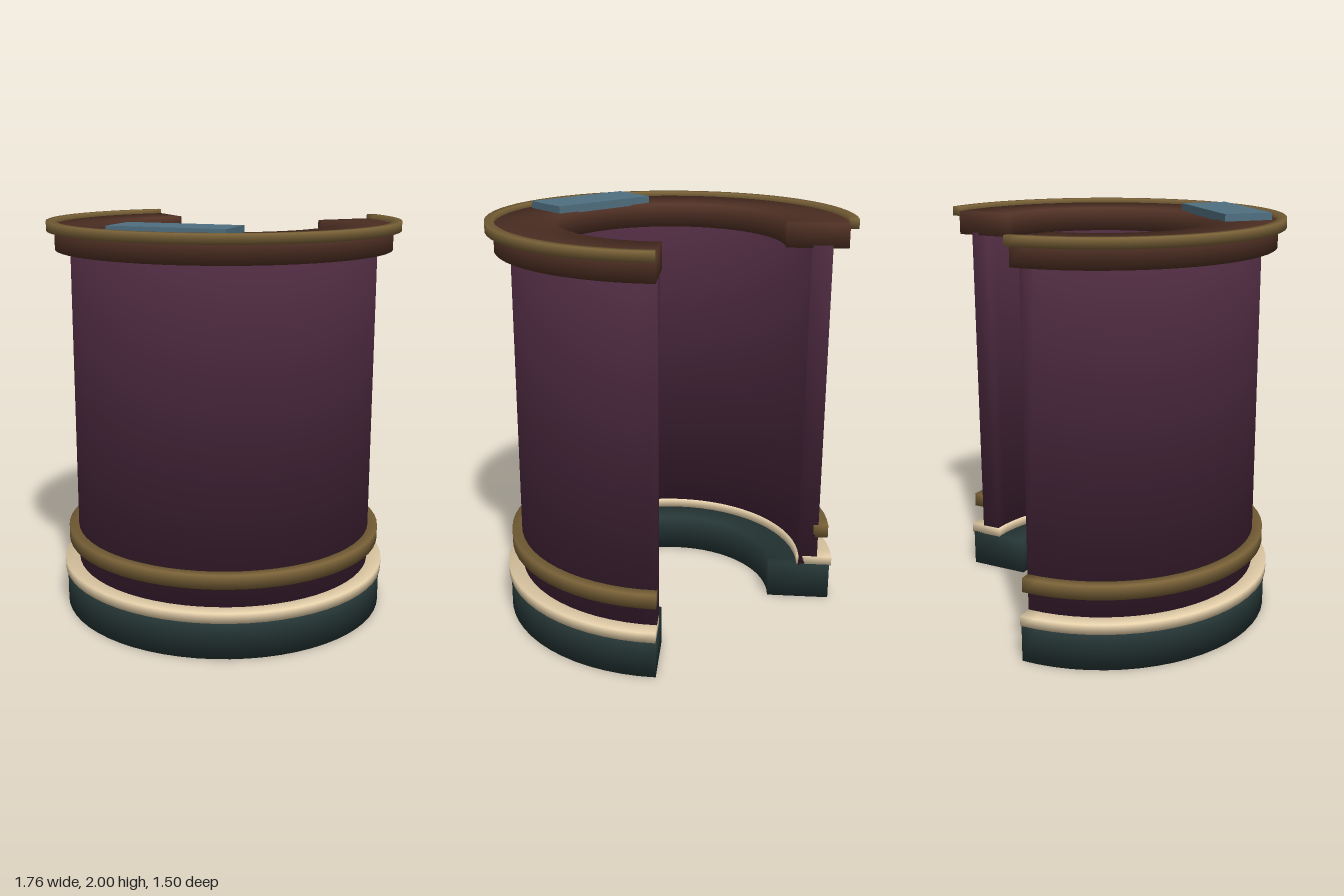
import * as THREE from 'three';

const SEGMENTS = 48;
const ARC = Math.PI * 1.5; // the ring is open for a quarter turn at the back
const CENTRE_Z = -0.135;

const mat = (name, color) => {
  const m = new THREE.MeshStandardMaterial({ color });
  m.name = name;
  return m;
};

// Solid open ring with a rectangular section, softly shaded across its corners
function ringGeometry(inner, outer, bottom, top) {
  const corners = [[inner, bottom, -1, -1], [outer, bottom, 1, -1], [outer, top, 1, 1], [inner, top, -1, 1]];
  const positions = [], normals = [], indices = [];
  const n = new THREE.Vector3();
  for (let i = 0; i <= SEGMENTS; i++) {
    const a = -ARC / 2 + (ARC * i) / SEGMENTS;
    const s = Math.sin(a), c = Math.cos(a);
    const end = i === 0 ? -1 : i === SEGMENTS ? 1 : 0;
    for (const [r, y, nr, ny] of corners) {
      positions.push(r * s, y, r * c);
      n.set(nr * s + end * c, ny, nr * c - end * s).normalize();
      normals.push(n.x, n.y, n.z);
    }
    if (i === SEGMENTS) break;
    for (let k = 0; k < 4; k++) {
      const p = i * 4 + k, q = i * 4 + ((k + 1) % 4);
      indices.push(p, p + 4, q + 4, p, q + 4, q);
    }
  }
  // end caps
  const e = SEGMENTS * 4;
  indices.push(0, 1, 2, 0, 2, 3, e, e + 2, e + 1, e, e + 3, e + 2);
  const g = new THREE.BufferGeometry();
  g.setAttribute('position', new THREE.Float32BufferAttribute(positions, 3));
  g.setAttribute('normal', new THREE.Float32BufferAttribute(normals, 3));
  g.setIndex(indices);
  return g;
}

export function createModel() {
  const model = new THREE.Group();
  model.name = 'curvedCounter';

  const plum = mat('plum', 0x4a283d);
  const brown = mat('brown', 0x523226);
  const gold = mat('gold', 0x7a6238);
  const cream = mat('cream', 0xead4ae);
  const teal = mat('darkTeal', 0x263636);
  const blue = mat('slateBlue', 0x4f6f80);

  // name, inner radius, outer radius, bottom, top, material
  const rings = [
    ['base', 0.515, 0.83, 0, 0.19, teal],
    ['baseTrim', 0.66, 0.84, 0.185, 0.235, cream],
    ['wall', 0.67, 0.765, 0.18, 1.86, plum],
    ['wallBand', 0.74, 0.815, 0.345, 0.415, gold],
    ['counterTop', 0.543, 0.84, 1.847, 1.965, brown],
    ['counterRim', 0.838, 0.88, 1.94, 1.987, gold],
  ];
  for (const [name, inner, outer, bottom, top, material] of rings) {
    const ring = new THREE.Mesh(ringGeometry(inner, outer, bottom, top), material);
    ring.name = name;
    ring.position.z = CENTRE_Z;
    model.add(ring);
  }

  // Flat pad on the front of the counter
  const pad = new THREE.Mesh(new THREE.BoxGeometry(0.57, 0.04, 0.243), blue);
  pad.name = 'counterPad';
  pad.position.set(0, 1.98, 0.503);
  model.add(pad);

  return model;
}
